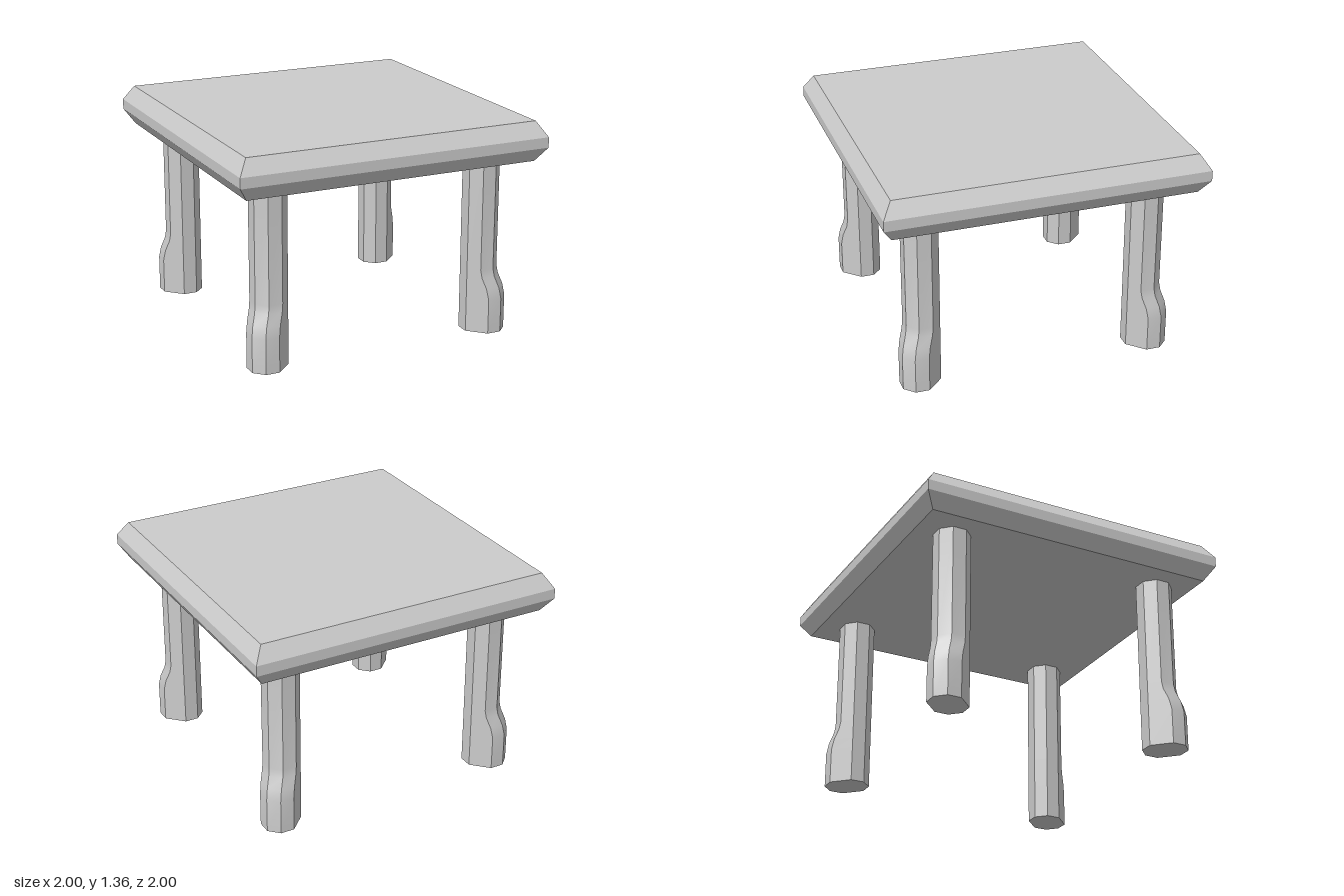
import * as THREE from 'three';
import { toCreasedNormals } from 'three/addons/utils/BufferGeometryUtils.js';

// Skin a stack of rings ({ y, pts: [[x, z], ...] }, bottom to top) and cap both ends
function loft(rings) {
  const n = rings[0].pts.length;
  const pos = rings.flatMap(({ y, pts }) => pts.flatMap(([x, z]) => [x, y, z]));
  const index = [];
  for (let r = 0; r < rings.length - 1; r++) {
    for (let i = 0; i < n; i++) {
      const a = r * n + i, b = r * n + (i + 1) % n;
      index.push(a, a + n, b, b, a + n, b + n);
    }
  }
  const last = (rings.length - 1) * n;
  for (let i = 1; i < n - 1; i++) {
    index.push(0, i, i + 1);
    index.push(last, last + i + 1, last + i);
  }
  const geo = new THREE.BufferGeometry();
  geo.setAttribute('position', new THREE.Float32BufferAttribute(pos, 3));
  geo.setIndex(index);
  return toCreasedNormals(geo, 0.5);
}

// Square ring of the table top
const square = (y, h) => ({ y, pts: [[h, -h], [h, h], [-h, h], [-h, -h]] });

// Octagonal leg ring; its outer half slides out along the diagonal by "push"
function legRing(y, push) {
  const centre = 0.71, half = 0.105, radius = half / Math.cos(Math.PI / 8);
  const pts = [];
  for (let i = 0; i < 8; i++) {
    const a = (i + 0.5) * Math.PI / 4;
    const x = radius * Math.cos(a), z = radius * Math.sin(a);
    const d = x + z > -1e-6 ? push : 0;
    pts.push([centre + x + d, centre + z + d]);
  }
  return { y, pts };
}

export function createModel() {
  const model = new THREE.Group();
  model.name = 'table';
  const material = new THREE.MeshStandardMaterial({ color: 0xcccccc });

  // Thick top with bevelled rims
  const top = new THREE.Mesh(
    loft([square(1.11, 0.94), square(1.2, 1), square(1.265, 1), square(1.36, 0.94)]),
    material);
  top.name = 'tableTop';
  model.add(top);

  // Four legs whose feet flare toward the corners
  const legGeometry = loft([
    legRing(0, 0.04), legRing(0.22, 0.04), legRing(0.29, 0.029),
    legRing(0.36, 0.007), legRing(0.41, 0), legRing(1.12, 0),
  ]);
  const legs = new THREE.Group();
  legs.name = 'legs';
  ['frontLeftLeg', 'backLeftLeg', 'backRightLeg', 'frontRightLeg'].forEach((name, i) => {
    const leg = new THREE.Mesh(legGeometry, material);
    leg.name = name;
    leg.rotation.y = i * Math.PI / 2;
    legs.add(leg);
  });
  legs.position.set(-0.005, 0, 0.005);
  model.add(legs);

  return model;
}
